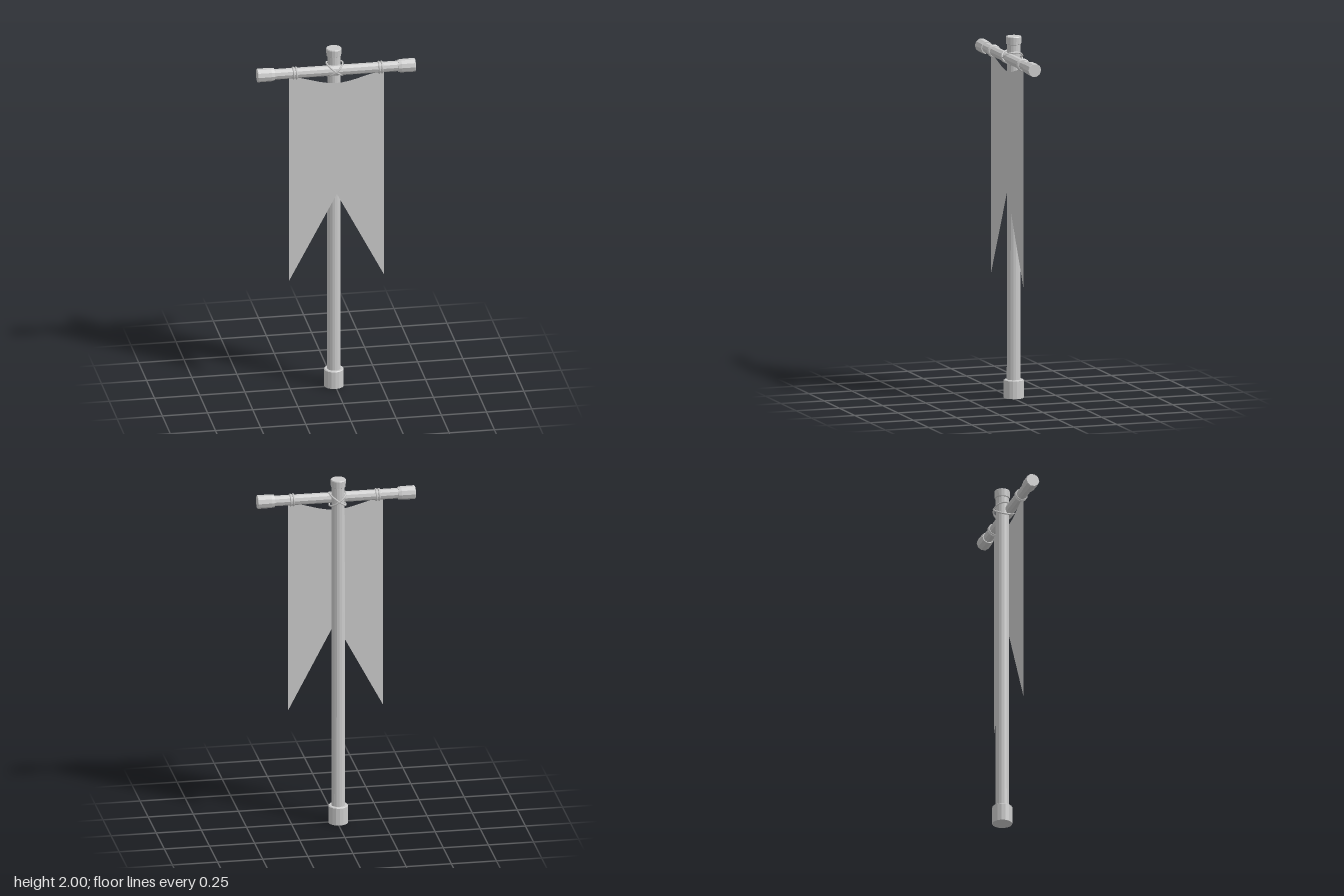
import * as THREE from 'three';

const POLE = { x: -0.006, z: -0.01 };
const BAR = { y: 1.882, z: 0.025 };

export function createModel() {
  const model = new THREE.Group();
  const wood = new THREE.MeshStandardMaterial({ color: 0xcccccc, flatShading: true });
  const smooth = new THREE.MeshStandardMaterial({ color: 0xcccccc });
  const cloth = new THREE.MeshStandardMaterial({ color: 0xcccccc, side: THREE.DoubleSide });

  const add = (name, geometry, material) => {
    const mesh = new THREE.Mesh(geometry, material);
    mesh.name = name;
    model.add(mesh);
    return mesh;
  };
  // Closed turned part from [radius, height] pairs
  const turned = (name, profile, sides) =>
    add(name, new THREE.LatheGeometry(profile.map(([r, y]) => new THREE.Vector2(r, y)), sides), wood);

  // Upright pole with a foot sleeve and a top cap
  const uprights = [
    turned('pole', [[0, 0.02], [0.038, 0.02], [0.036, 1.97], [0, 1.97]], 16),
    turned('poleFoot', [[0, 0], [0.055, 0], [0.055, 0.098], [0.05, 0.102], [0.036, 0.102]], 16),
    turned('poleCap', [[0.034, 1.953], [0.041, 1.957], [0.043, 1.995], [0.04, 2], [0, 2]], 16),
  ];
  uprights.forEach((part) => part.position.set(POLE.x, 0, POLE.z));

  // Crossbar lying in front of the pole
  const bar = add('crossbar', new THREE.CylinderGeometry(0.029, 0.029, 0.8, 10), wood);
  bar.rotation.z = Math.PI / 2;
  bar.position.set(0, BAR.y, BAR.z);

  for (const side of [-1, 1]) {
    // Sleeve on the end of the crossbar
    const cap = turned('crossbarCap',
      [[0.028, 0.342], [0.034, 0.342], [0.037, 0.36], [0.038, 0.434], [0.036, 0.437], [0, 0.437]], 10);
    cap.rotation.z = -side * Math.PI / 2;
    cap.position.set(0, BAR.y, BAR.z);

    // Pair of cord loops holding the banner
    for (const offset of [-0.008, 0.008]) {
      const loop = add('bannerTie', new THREE.TorusGeometry(0.03, 0.006, 6, 16), smooth);
      loop.rotation.y = Math.PI / 2;
      loop.position.set(side * 0.237 + 0.008 + offset, BAR.y, BAR.z);
    }

    // Diagonal lashing around pole and crossbar
    const lashing = add('lashing', new THREE.TorusGeometry(0.057, 0.005, 6, 20), smooth);
    lashing.geometry.rotateX(Math.PI / 2);
    lashing.rotation.z = side * 0.65;
    lashing.position.set(-0.004, BAR.y, -0.001);
  }

  // Swallow-tailed banner with a sagging top edge
  const shape = new THREE.Shape();
  shape.moveTo(-0.26, 1.865);
  shape.lineTo(-0.26, 0.655);
  shape.lineTo(0.004, 1.15);
  shape.lineTo(0.264, 0.655);
  shape.lineTo(0.264, 1.865);
  shape.bezierCurveTo(0.15, 1.845, 0.09, 1.808, 0.002, 1.808);
  shape.bezierCurveTo(-0.086, 1.808, -0.146, 1.845, -0.26, 1.865);
  add('banner', new THREE.ShapeGeometry(shape, 8), cloth).position.z = 0.03;

  return model;
}
